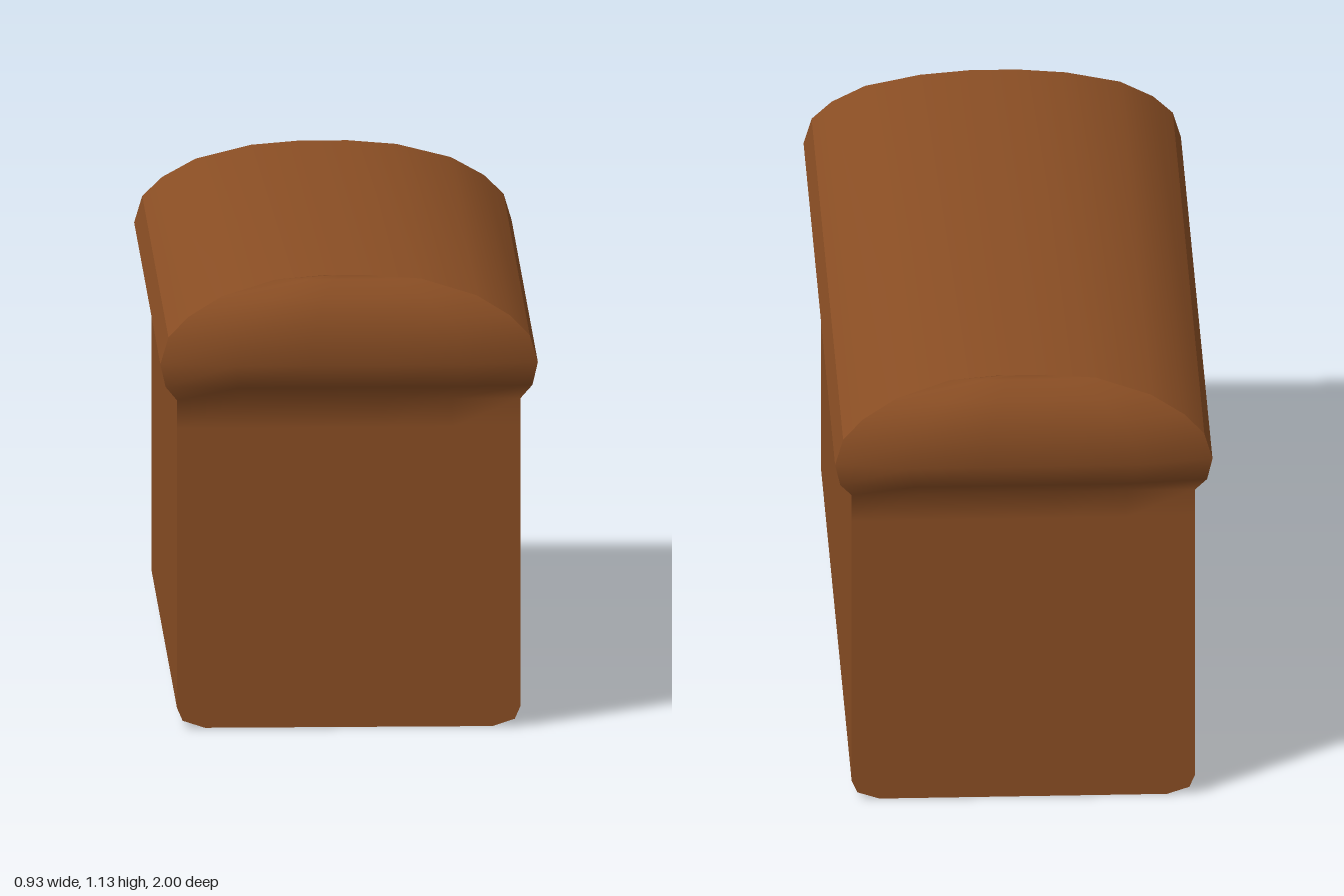
import * as THREE from 'three';
import { toCreasedNormals } from 'three/addons/utils/BufferGeometryUtils.js';

// Half cross-section from the base up: x, y, z at the rim, z at the middle of the end
const PROFILE = [
  [0.355, 0, 0.94, 0.94], [0.41, 0.018, 0.94, 0.94], [0.424, 0.05, 0.94, 0.94],
  [0.424, 0.75, 0.94, 0.94], [0.424, 0.822, 0.94, 0.94],
  [0.453, 0.86, 0.963, 0.983], [0.466, 0.918, 0.97, 1], [0.446, 0.985, 0.967, 1],
  [0.397, 1.034, 0.958, 0.988], [0.315, 1.082, 0.943, 0.968],
  [0.18, 1.12, 0.92, 0.925], [0.06, 1.13, 0.92, 0.92],
];
const ACROSS = [-1, -0.6, -0.2, 0.2, 0.6, 1];

function makeGeometry(positions, index) {
  const geometry = new THREE.BufferGeometry();
  geometry.setAttribute('position', new THREE.Float32BufferAttribute(positions, 3));
  geometry.setIndex(index);
  return geometry;
}

// Long wrap of crust: the mirrored section run from the front rim to the back rim
function crustGeometry() {
  const mirrored = PROFILE.map(([x, y, z]) => [-x, y, z]).reverse();
  const ring = [...PROFILE, ...mirrored];
  const positions = [], index = [];
  ring.forEach(([x, y, z], i) => {
    positions.push(x, y, z, x, y, -z);
    const a = 2 * i, b = 2 * ((i + 1) % ring.length);
    index.push(a, a + 1, b + 1, a, b + 1, b);
  });
  return toCreasedNormals(makeGeometry(positions, index), 0.35);
}

// End of the loaf: flat below, bulging out at the risen top
function endGeometry() {
  const positions = [], index = [], n = ACROSS.length;
  PROFILE.forEach(([x, y, rim, middle], row) => {
    ACROSS.forEach((t, col) => {
      positions.push(x * t, y, Math.abs(t) === 1 ? rim : middle);
      if (row === 0 || col === 0) return;
      const d = row * n + col, c = d - 1, b = d - n, a = b - 1;
      index.push(a, b, d, a, d, c);
    });
  });
  const geometry = makeGeometry(positions, index);
  geometry.computeVertexNormals();
  return geometry;
}

export function createModel() {
  const loaf = new THREE.Group();
  loaf.name = 'breadLoaf';
  const crustBrown = new THREE.MeshStandardMaterial({ color: 0x8a4e24 });
  crustBrown.name = 'crustBrown';

  const crust = new THREE.Mesh(crustGeometry(), crustBrown);
  crust.name = 'crust';
  loaf.add(crust);

  const end = endGeometry();
  ['frontEnd', 'backEnd'].forEach((name, i) => {
    const mesh = new THREE.Mesh(end, crustBrown);
    mesh.name = name;
    mesh.rotation.y = i * Math.PI;
    loaf.add(mesh);
  });
  return loaf;
}
